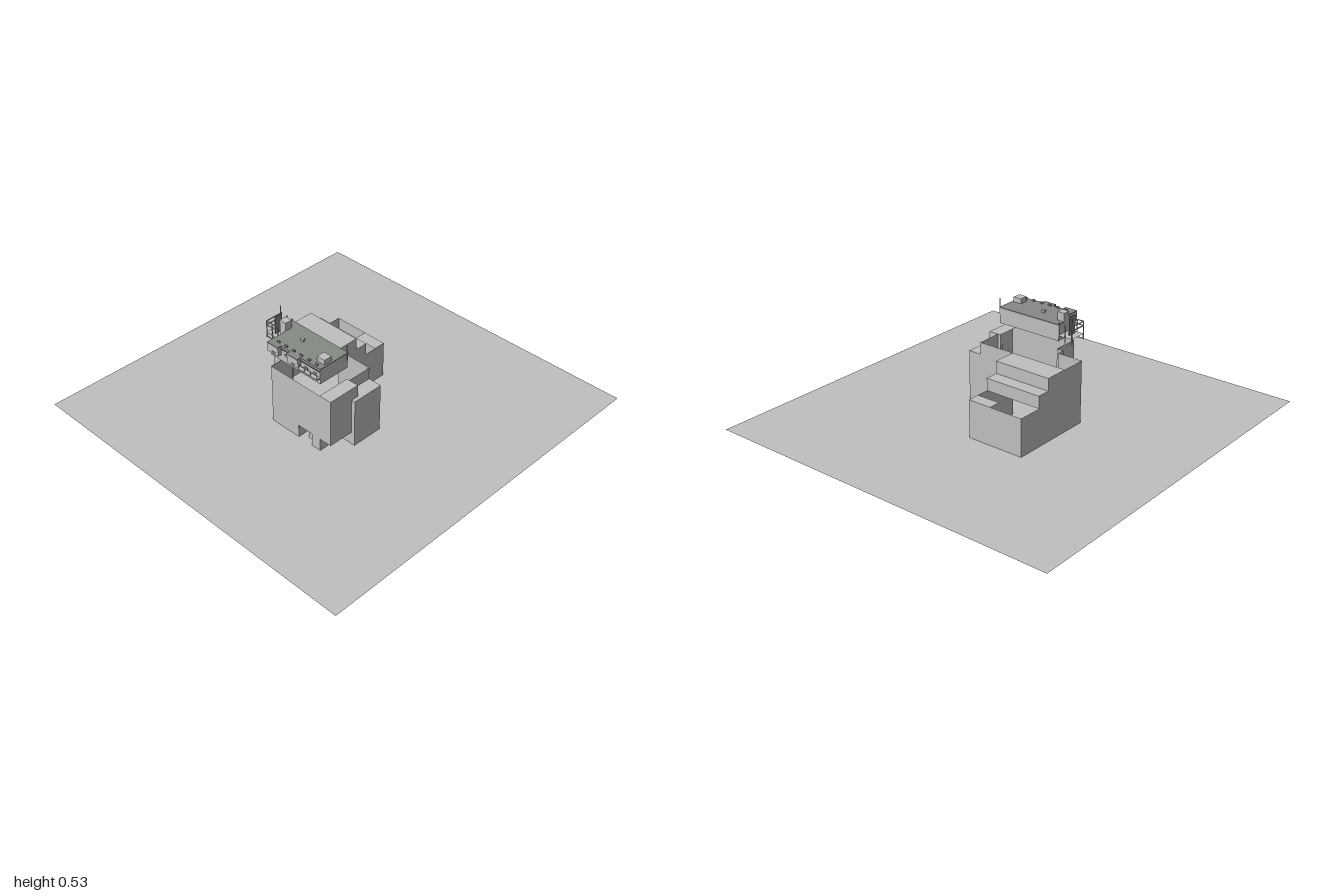
import * as THREE from 'three';

export function createModel() {
  const model = new THREE.Group();
  const concrete = new THREE.MeshStandardMaterial({ color: 0xc0c0c0, side: THREE.DoubleSide });
  concrete.name = 'pale concrete';
  const roofing = new THREE.MeshStandardMaterial({ color: 0x868a85, side: THREE.DoubleSide });
  roofing.name = 'grey roofing';

  const add = (parent, name, geometry, material = concrete) => {
    const mesh = new THREE.Mesh(geometry, material);
    mesh.name = name;
    parent.add(mesh);
    return mesh;
  };
  // Box given by its limits on each axis
  const box = (parent, name, x0, x1, y0, y1, z0, z1, material) =>
    add(parent, name, new THREE.BoxGeometry(x1 - x0, y1 - y0, z1 - z0), material)
      .position.set((x0 + x1) / 2, (y0 + y1) / 2, (z0 + z1) / 2);
  // Flat horizontal face
  const deck = (parent, name, x0, x1, z0, z1, y, material) =>
    add(parent, name, new THREE.PlaneGeometry(x1 - x0, z1 - z0).rotateX(-Math.PI / 2), material)
      .position.set((x0 + x1) / 2, y, (z0 + z1) / 2);
  // Upright walls along a path of [x, z] points
  const walls = (parent, name, path, y0, y1) => {
    for (let i = 0; i < path.length - 1; i++) {
      const [ax, az] = path[i], [bx, bz] = path[i + 1];
      const wall = add(parent, name, new THREE.PlaneGeometry(Math.hypot(bx - ax, bz - az), y1 - y0));
      wall.position.set((ax + bx) / 2, (y0 + y1) / 2, (az + bz) / 2);
      wall.rotation.y = -Math.atan2(bz - az, bx - ax);
    }
  };
  // Upright wall cut from an outline of [z, y] points, facing sideways
  const sideWall = (parent, name, points, x) => {
    const shape = new THREE.Shape(points.map(([z, y]) => new THREE.Vector2(-z, y)));
    add(parent, name, new THREE.ShapeGeometry(shape).rotateY(Math.PI / 2), concrete).position.x = x;
  };

  // Ground sheet
  deck(model, 'ground', -0.98, 0.98, -1, 1, 0);

  // Stepped rear wing with open roof bays
  const wing = new THREE.Group();
  wing.name = 'rearWing';
  model.add(wing);
  const steps = [[-0.32, 0], [-0.32, 0.2], [-0.19, 0.2], [-0.19, 0.265], [-0.12, 0.265], [-0.12, 0.33]];
  sideWall(wing, 'steppedSideWall', [...steps, [0.14, 0.33], [0.14, 0]], -0.3);
  sideWall(wing, 'steppedSideWall', [...steps, [0.005, 0.33], [0.005, 0]], 0.015);
  walls(wing, 'rearWall', [[-0.3, -0.32], [0.015, -0.32]], 0, 0.2);
  walls(wing, 'stepRiser', [[-0.3, -0.19], [0.015, -0.19]], 0.2, 0.265);
  walls(wing, 'stepRiser', [[-0.3, -0.12], [0.015, -0.12]], 0.265, 0.33);
  deck(wing, 'upperRoof', -0.3, 0.015, -0.12, 0.005, 0.33);
  deck(wing, 'stepRoof', -0.3, 0.015, -0.19, -0.12, 0.265);
  deck(wing, 'lowRoof', -0.115, 0.015, -0.32, -0.255, 0.2);

  // Main body, open at the top
  const body = new THREE.Group();
  body.name = 'mainBody';
  model.add(body);
  walls(body, 'frontWall', [[-0.3, 0.14], [-0.16, 0.14], [-0.16, 0.18], [-0.12, 0.18], [-0.12, 0.32]], 0, 0.33);
  walls(body, 'frontWall', [[-0.12, 0.32], [0.275, 0.32]], 0.07, 0.33);
  walls(body, 'groundFloorWall', [[-0.12, 0.32], [0.06, 0.32], [0.06, 0.25], [0.15, 0.25], [0.15, 0.32],
    [0.205, 0.32], [0.205, 0.18], [0.22, 0.18]], 0, 0.07);
  box(body, 'doorPier', 0.1, 0.15, 0, 0.07, 0.25, 0.29);
  deck(body, 'doorHead', 0.06, 0.15, 0.25, 0.32, 0.07);
  walls(body, 'rearWall', [[0.015, 0.005], [0.22, 0.005], [0.22, 0.14]], 0, 0.33);

  // Overhanging bay and lower side block
  walls(body, 'bayWall', [[0.275, 0.32], [0.275, 0.14], [0.205, 0.14]], 0.07, 0.33);
  deck(body, 'bayRoof', 0.205, 0.275, 0.14, 0.32, 0.33);
  deck(body, 'baySoffit', 0.205, 0.275, 0.14, 0.32, 0.07);
  box(body, 'sideBlock', 0.22, 0.295, 0, 0.265, 0.005, 0.18);

  // Raised top storey
  const top = new THREE.Group();
  top.name = 'topStorey';
  model.add(top);
  box(top, 'topStoreyWalls', -0.12, 0.205, 0.395, 0.475, 0.138, 0.315);
  box(top, 'roofSlab', -0.12, 0.207, 0.475, 0.481, 0.135, 0.317, roofing);
  for (const [x0, x1] of [[-0.12, -0.05], [0.01, 0.08]]) {
    box(top, 'frontBay', x0, x1, 0.43, 0.475, 0.315, 0.338);
    box(top, 'frontBayRoof', x0, x1, 0.475, 0.481, 0.315, 0.34, roofing);
  }
  box(top, 'frontBalcony', 0.08, 0.205, 0.425, 0.432, 0.315, 0.337);
  box(top, 'frontBalconyRail', 0.08, 0.205, 0.45, 0.454, 0.333, 0.337);
  for (const x of [0.08, 0.12, 0.16, 0.201]) box(top, 'balconyPost', x, x + 0.003, 0.43, 0.452, 0.333, 0.336);
  box(top, 'cornice', -0.12, 0.205, 0.463, 0.468, 0.315, 0.32, roofing);
  for (const x of [-0.09, -0.03, 0.04, 0.1, 0.16]) {
    box(top, 'window', x, x + 0.025, 0.43, 0.445, x === -0.09 || x === 0.04 ? 0.338 : 0.315,
      x === -0.09 || x === 0.04 ? 0.34 : 0.317, roofing);
  }
  for (let i = 0; i < 6; i++) {
    const x = -0.085 + i * 0.05;
    box(top, 'roofVent', x, x + 0.015, 0.481, 0.49, 0.3, 0.308, roofing);
  }
  box(top, 'roofHousing', 0.15, 0.197, 0.48, 0.507, 0.235, 0.28);
  box(top, 'roofPipe', -0.015, 0, 0.48, 0.495, 0.21, 0.225);
  box(top, 'chimney', -0.16, -0.12, 0.395, 0.525, 0.18, 0.22);
  box(top, 'sideLink', -0.16, -0.12, 0.395, 0.475, 0.138, 0.18);
  box(top, 'sideLinkRoof', -0.16, -0.12, 0.475, 0.481, 0.135, 0.18, roofing);
  box(top, 'roofPole', 0.205, 0.209, 0.44, 0.525, 0.14, 0.144);

  // Side balcony with posts, rails and mast
  const balcony = new THREE.Group();
  balcony.name = 'sideBalcony';
  model.add(balcony);
  for (const y of [0.397, 0.42]) box(balcony, 'balconyBeam', -0.24, -0.16, y, y + 0.004, 0.23, 0.235);
  deck(balcony, 'balconyFloor', -0.24, -0.16, 0.135, 0.235, 0.424);
  for (const y of [0.464, 0.486]) {
    box(balcony, 'frontRail', -0.24, -0.16, y, y + 0.004, 0.231, 0.235);
    box(balcony, 'endRail', -0.24, -0.236, y, y + 0.004, 0.135, 0.235);
  }
  for (const x of [-0.24, -0.202, -0.164]) {
    for (const z of [0.135, 0.231]) box(balcony, 'balconyPost', x, x + 0.004, 0.395, 0.49, z, z + 0.004);
  }
  box(balcony, 'mast', -0.24, -0.236, 0.395, 0.53, 0.14, 0.144);
  box(balcony, 'mast', -0.202, -0.197, 0.42, 0.52, 0.17, 0.215, roofing);

  return model;
}
